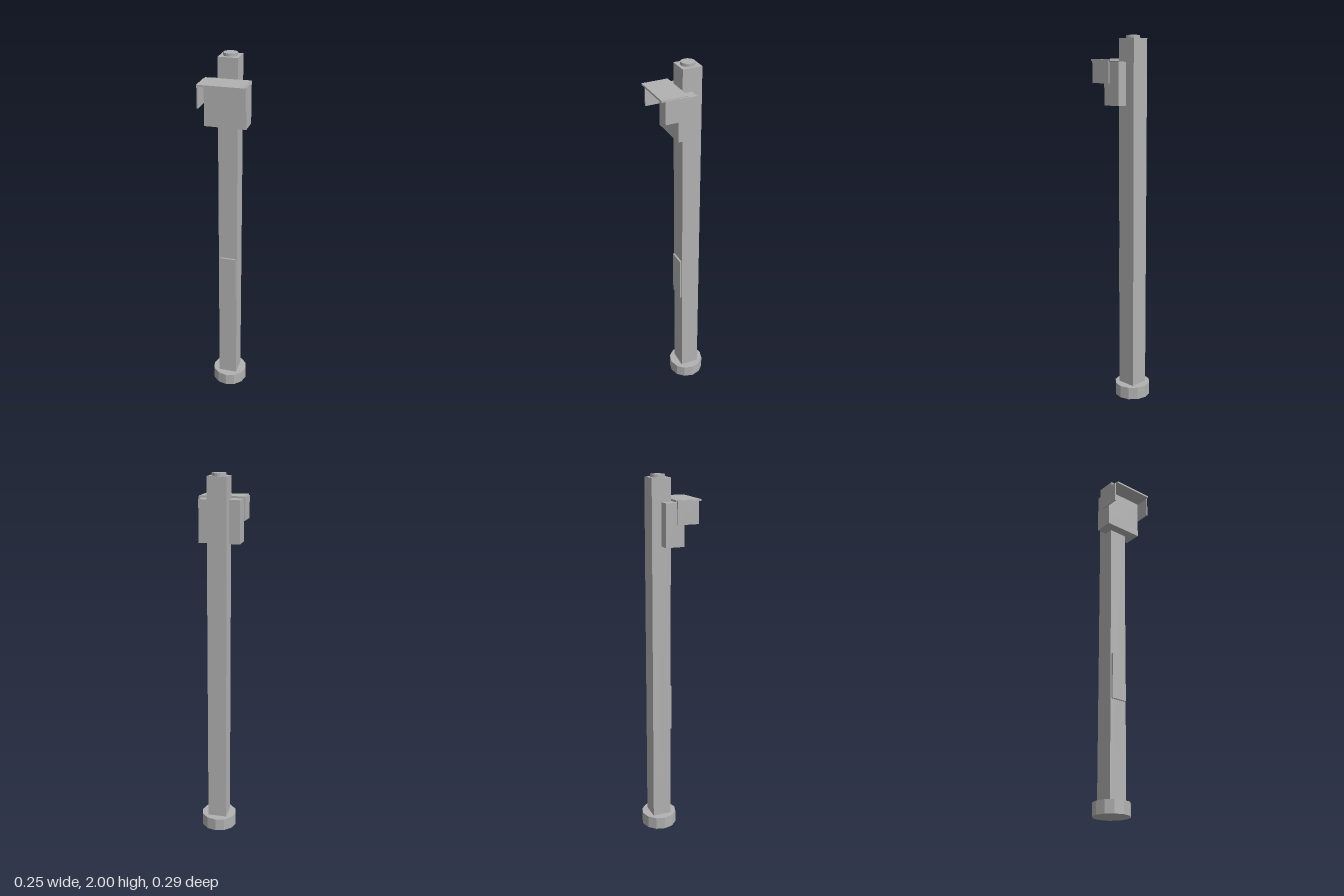
import * as THREE from 'three';

export function createModel() {
  const group = new THREE.Group();
  const grey = new THREE.MeshStandardMaterial({ color: 0xb2b2b2, flatShading: true });
  grey.name = 'concrete grey';
  const postZ = -0.048;

  const add = (name, geometry, x, y, z) => {
    const mesh = new THREE.Mesh(geometry, grey);
    mesh.name = name;
    mesh.position.set(x, y, z);
    group.add(mesh);
  };
  // Box given by its extents along each axis
  const box = (name, [x0, x1], [y0, y1], [z0, z1]) =>
    add(name, new THREE.BoxGeometry(x1 - x0, y1 - y0, z1 - z0),
      (x0 + x1) / 2, (y0 + y1) / 2, (z0 + z1) / 2);

  // Round foot, square post and round cap
  add('base', new THREE.CylinderGeometry(0.0985, 0.0985, 0.07, 12), 0, 0.035, postZ);
  box('post', [-0.052, 0.052], [0.02, 1.985], [-0.1, 0.004]);
  add('topCap', new THREE.CylinderGeometry(0.037, 0.037, 0.03, 16), 0, 1.985, postZ);

  // Access panel on the front of the post
  box('accessPanel', [-0.045, 0.045], [0.603, 0.858], [0, 0.014]);

  // Housing wrapped round the post, with a hood over its front
  box('housing', [-0.11, 0.11], [1.641, 1.865], [-0.047, 0.055]);
  box('hoodTop', [-0.117, 0.117], [1.869, 1.879], [0.005, 0.145]);
  for (const side of [-1, 1]) {
    const xs = [side * 0.117, side * 0.124].sort((a, b) => a - b);
    box(side > 0 ? 'hoodSideLeft' : 'hoodSideRight', xs, [1.755, 1.875], [0.011, 0.128]);
  }
  return group;
}
